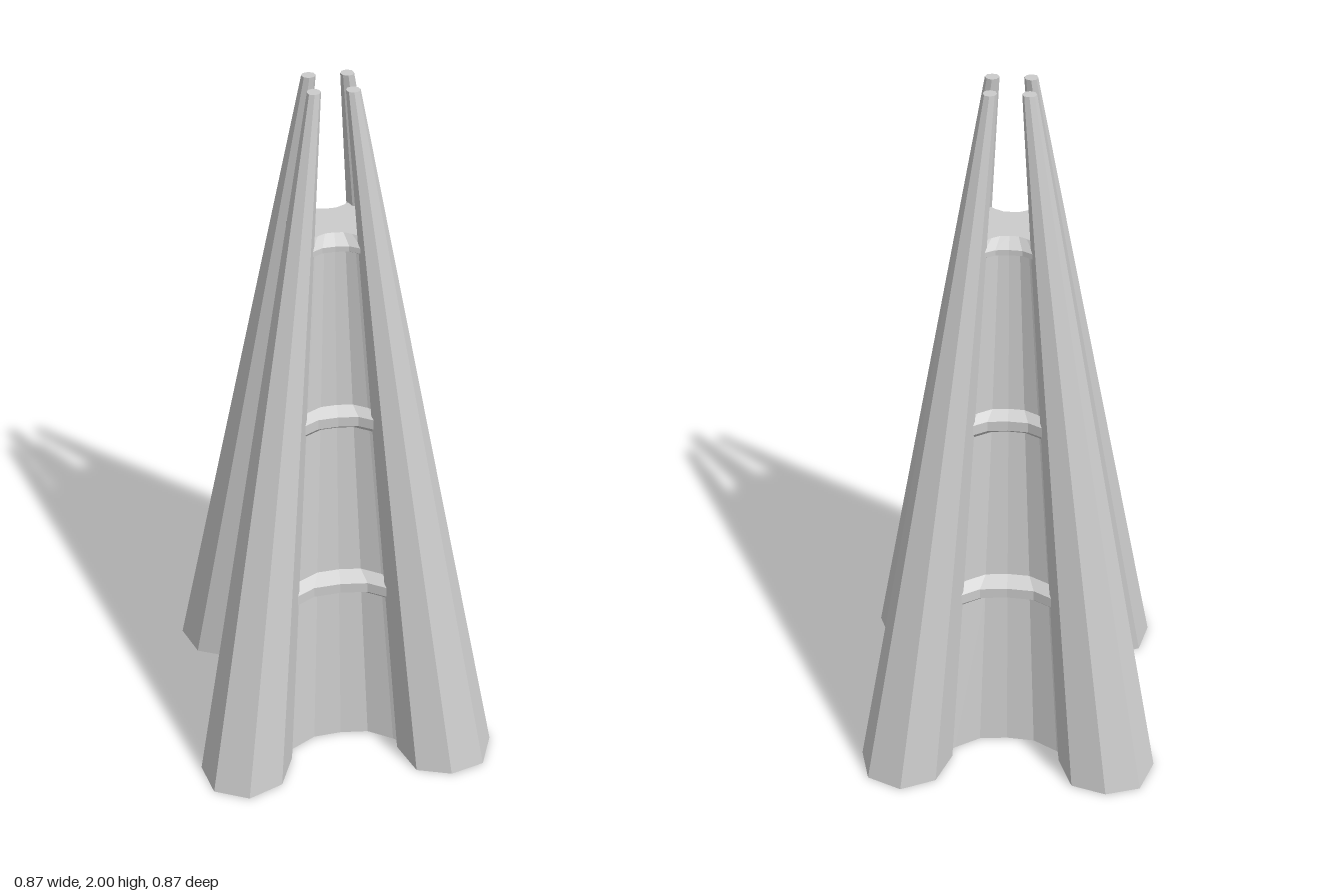
import * as THREE from 'three';

const material = new THREE.MeshStandardMaterial({
  color: 0xcccccc, flatShading: true, side: THREE.DoubleSide,
});

// Skins a stack of equal-length rings [x, y, z], closing the top with a fan.
function loft(rings, capCentre) {
  const n = rings[0].length;
  const index = [];
  for (let r = 0; r < rings.length - 1; r++) {
    for (let i = 0; i < n; i++) {
      const j = (i + 1) % n;
      const a = r * n + i, b = r * n + j;
      index.push(a, b, b + n, a, b + n, a + n);
    }
  }
  const top = (rings.length - 1) * n;
  for (let i = 0; i < n; i++) index.push(top + i, top + (i + 1) % n, rings.length * n);
  const geometry = new THREE.BufferGeometry();
  geometry.setAttribute('position', new THREE.Float32BufferAttribute([...rings.flat(), capCentre].flat(), 3));
  geometry.setIndex(index);
  geometry.computeVertexNormals();
  return geometry;
}

// Octagonal ring of a leaning pole; the front vertex is slightly pulled in.
function poleRing(y, centre, radius) {
  return Array.from({ length: 8 }, (_, i) => {
    const a = i * Math.PI / 4;
    const r = radius * (i === 6 ? 0.91 : 1);
    return [centre + Math.cos(a) * r, y, centre - Math.sin(a) * r];
  });
}

// Four-sided core section with concave sides, scaled to a mid-side distance.
function coreRing(y, distance) {
  const side = [[-0.2, 0.3], [-0.15, 0.26], [-0.08, 0.22], [0, 0.213], [0.08, 0.22], [0.15, 0.26], [0.2, 0.3]];
  const k = distance / 0.213;
  const ring = [];
  for (let q = 0; q < 4; q++) {
    for (let [x, z] of side) {
      for (let t = 0; t < q; t++) [x, z] = [z, -x];
      ring.push([x * k, y, z * k]);
    }
  }
  return ring;
}

export function createModel() {
  const group = new THREE.Group();

  // four tapering corner poles, open underneath
  const pole = loft([poleRing(0, 0.295, 0.139), poleRing(2, 0.048, 0.018)], [0.048, 2, 0.048]);
  for (let q = 0; q < 4; q++) {
    const mesh = new THREE.Mesh(pole, material);
    mesh.name = 'cornerPole' + (q + 1);
    mesh.rotation.y = q * Math.PI / 2;
    group.add(mesh);
  }

  // concave core with two bevelled bands and a capped rim: [height, distance]
  const levels = [
    [0, 0.213],
    [0.515, 0.167], [0.54, 0.2], [0.572, 0.2], [0.595, 0.163],
    [1.055, 0.119], [1.075, 0.143], [1.105, 0.143], [1.125, 0.113],
    [1.572, 0.073], [1.58, 0.09], [1.595, 0.09], [1.62, 0.062],
  ];
  const core = new THREE.Mesh(loft(levels.map(([y, d]) => coreRing(y, d)), [0, 1.62, 0]), material);
  core.name = 'bandedCore';
  group.add(core);

  return group;
}
